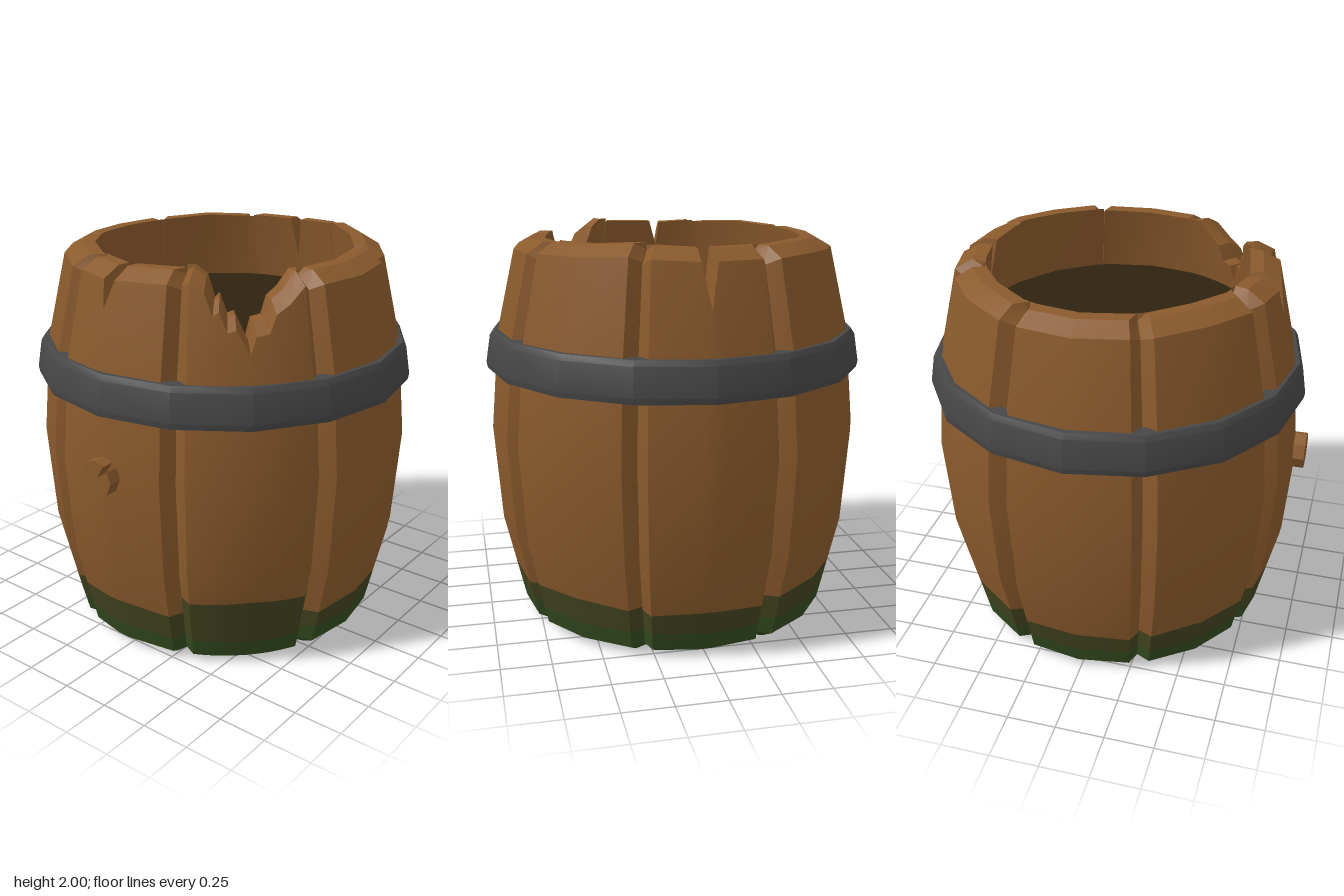
import * as THREE from 'three';
import { toCreasedNormals } from 'three/addons/utils/BufferGeometryUtils.js';

const mat = (name, color) => {
  const m = new THREE.MeshStandardMaterial({ color });
  m.name = name;
  return m;
};

// Straight-line interpolation through [x, y] pairs
function lerpTable(table, x) {
  for (let i = 1; i < table.length; i++) {
    const [x0, y0] = table[i - 1], [x1, y1] = table[i];
    if (x <= x1) return y0 + (y1 - y0) * Math.max(0, (x - x0) / (x1 - x0));
  }
  return table[table.length - 1][1];
}

// Barrel bulge: outer and inner radius by height
const BULGE = [[0, 0.74], [0.04, 0.81], [0.5, 0.915], [1, 0.95], [1.5, 0.905], [1.93, 0.805], [2, 0.785]];
const outer = (y) => lerpTable(BULGE, y);
const inner = (y) => lerpTable([[1.55, 0.73], [1.97, 0.65]], y);

const EDGE = 18.8;    // half-angle of a stave's flat face, degrees
const SEAM = 22.45;   // half-angle out to the seam between staves
const GROOVE = 0.06;  // depth of the seam

// One stave: columns across, each a profile from the base centre, up, over the rim and down inside.
// rim is a list of [u, height], u from -1 to 1 across the stave.
function staveGeometry(middle, rim, mossHeight) {
  const columns = [];
  const column = (angle, u, seam, collapsed) => {
    const top = lerpTable(rim, u);
    const dip = seam ? 0.03 : 0;
    const moss = mossHeight + 0.015 * (1 - Math.abs(u));
    const profile = [[0, 0], [0.74, 0]];
    for (const y of [0.04, 0.13, moss, 0.5, 1, 1.5, top - 0.05 - dip]) profile.push([outer(y), y]);
    profile.push([outer(top) - 0.075, top - dip], [inner(top), top], [inner(1.58), 1.58]);
    const a = THREE.MathUtils.degToRad(middle + angle);
    columns.push(profile.map(([r, y], i) => {
      if (seam && i > 0 && i < 10) r = Math.max(r - GROOVE, i > 7 ? inner(y) + 0.005 : 0);
      if (collapsed && i > 0) {
        y = Math.min(y, top - 0.07);
        r = outer(y) - 0.1;
      }
      return [r * Math.sin(a), y, r * Math.cos(a)];
    }));
  };
  column(-SEAM, -1, true, true);
  column(-SEAM, -1, true, false);
  for (const [u] of rim) column(u * EDGE, u, false, false);
  column(SEAM, 1, true, false);
  column(SEAM, 1, true, true);

  const rows = columns[0].length;
  const index = [];
  const geometry = new THREE.BufferGeometry();
  // Bands: damp base, moss, wood
  [[0, 3], [3, 4], [4, rows - 1]].forEach(([from, to], material) => {
    const start = index.length;
    for (let j = 0; j < columns.length - 1; j++) {
      for (let i = from; i < to; i++) {
        const a = j * rows + i, b = a + rows;
        if (i > 0) index.push(a, b, b + 1);
        index.push(a, b + 1, a + 1);
      }
    }
    geometry.addGroup(start, index.length - start, material);
  });
  geometry.setAttribute('position', new THREE.Float32BufferAttribute(columns.flat(2), 3));
  geometry.setIndex(index);
  return toCreasedNormals(geometry, 0.42);
}

// Rim outlines and moss heights, going round from the front towards +x
const STAVES = [
  { moss: 0.27, rim: [[-1, 1.98], [-0.3, 1.97], [-0.22, 1.84], [-0.04, 1.975], [0, 1.975], [1, 1.985]] },
  { moss: 0.375, rim: [[-1, 2], [-0.75, 1.96], [-0.6, 1.86], [-0.5, 1.88], [-0.36, 1.79], [-0.22, 1.8], [0, 1.69],
    [0.1, 1.77], [0.32, 1.78], [0.45, 1.86], [0.7, 1.9], [1, 1.97]] },
  { moss: 0.23, rim: [[-1, 1.965], [0, 1.965], [1, 1.97]] },
  { moss: 0.26, rim: [[-1, 1.98], [0, 1.985], [1, 2]] },
  { moss: 0.24, rim: [[-1, 1.99], [-0.15, 1.98], [0, 1.77], [0.15, 1.98], [1, 1.98]] },
  { moss: 0.26, rim: [[-1, 1.975], [0, 1.98], [1, 1.97]] },
  { moss: 0.24, rim: [[-1, 1.97], [0, 1.97], [1, 1.975]] },
  { moss: 0.255, rim: [[-1, 1.975], [0, 1.985], [1, 1.975]] },
];

export function createModel() {
  const wood = mat('wood', 0x8a5a2c);
  const moss = mat('moss', 0x444420);
  const damp = mat('damp green', 0x334a1f);
  const iron = mat('iron', 0x474747);
  const dark = mat('dark inside', 0x2e2210);

  const model = new THREE.Group();
  model.name = 'barrel';
  const add = (name, geometry, material) => {
    const mesh = new THREE.Mesh(geometry, material);
    mesh.name = name;
    model.add(mesh);
    return mesh;
  };

  // Staves
  STAVES.forEach(({ rim, moss: height }, i) => {
    add('stave' + (i + 1), staveGeometry(i * 45, rim, height), [damp, moss, wood]);
  });

  // Iron hoop
  const hoop = [[0.88, 1.315], [0.962, 1.315], [0.968, 1.345], [0.945, 1.485], [0.928, 1.512], [0.86, 1.512]]
    .map(([r, y]) => new THREE.Vector2(r, y));
  add('hoop', toCreasedNormals(new THREE.LatheGeometry(hoop, 16), 0.42), iron);

  // Dark surface inside
  const floor = add('insideFloor', new THREE.CircleGeometry(0.73, 16).rotateX(-Math.PI / 2), dark);
  floor.position.y = 1.63;

  // Split bung plug on the front
  const outline = [[0, 0.095], [36, 0.09], [45, 0.015], [56, 0.09]];
  for (let a = 90; a < 360; a += 45) outline.push([a, 0.095]);
  const plug = new THREE.Shape(outline.map(([a, r]) => {
    const t = THREE.MathUtils.degToRad(a);
    return new THREE.Vector2(r * Math.cos(t), r * Math.sin(t));
  }));
  const bung = add('bung', new THREE.ExtrudeGeometry(plug, { depth: 0.12, bevelEnabled: false }), wood);
  bung.position.set(0, 1.01, 0.88);

  // Centre the depth, allowing for the bung
  for (const part of model.children) part.position.z -= 0.015;
  return model;
}
